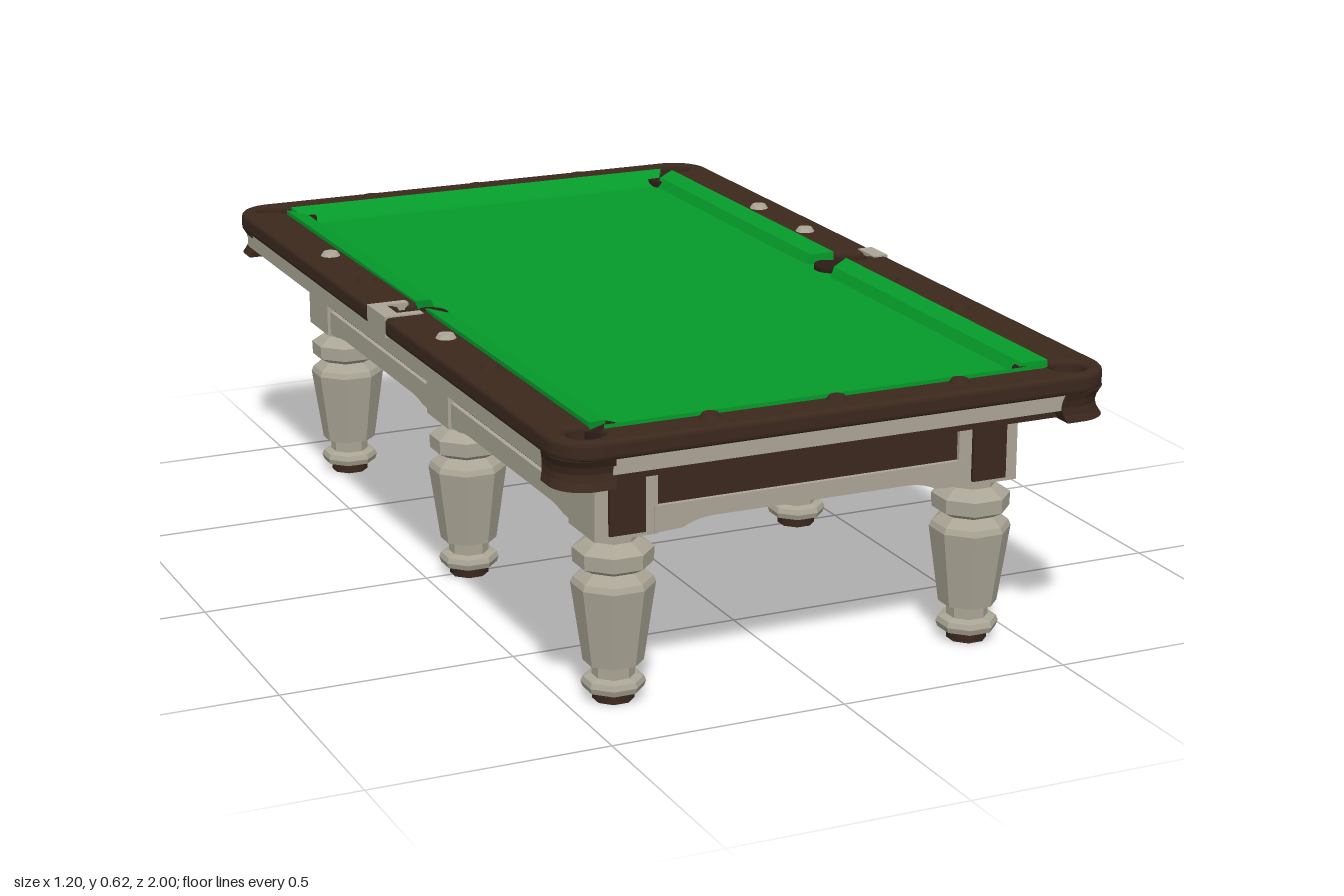
import * as THREE from 'three';

const mat = (name, color, extra = {}) => Object.assign(new THREE.MeshStandardMaterial({ color, ...extra }), { name });

export function createModel() {
  const wood = mat('dark wood', 0x3b281d);
  const pale = mat('pale wood', 0xaaa595, { flatShading: true });
  const cloth = mat('green cloth', 0x059a2a);
  const under = mat('dark green underside', 0x04301c);
  const leather = mat('pocket leather', 0x2a1d17);

  const root = new THREE.Group();
  root.name = 'billiardTable';
  const add = (name, geo, material, x = 0, y = 0, z = 0, parent = root) => {
    const m = new THREE.Mesh(geo, material);
    m.name = name;
    m.position.set(x, y, z);
    parent.add(m);
    return m;
  };
  // box given by its limits on each axis
  const box = (name, material, x0, x1, y0, y1, z0, z1) =>
    add(name, new THREE.BoxGeometry(Math.abs(x1 - x0), y1 - y0, Math.abs(z1 - z0)), material,
      (x0 + x1) / 2, (y0 + y1) / 2, (z0 + z1) / 2);
  const upright = (shape, opts) => new THREE.ExtrudeGeometry(shape, opts).rotateX(-Math.PI / 2);
  const S = [-1, 1];

  // Top rail: rounded outline, opening with bulges for the six pockets
  const outline = new THREE.Shape();
  const W = 0.6, L = 1, R = 0.085;
  outline.absarc(W - R, L - R, R, 0, Math.PI / 2);
  outline.absarc(-W + R, L - R, R, Math.PI / 2, Math.PI);
  outline.absarc(-W + R, -L + R, R, Math.PI, 1.5 * Math.PI);
  outline.absarc(W - R, -L + R, R, 1.5 * Math.PI, 2 * Math.PI);
  const quarter = [];
  const arc = (cx, cy, r, from, to, n) => {
    for (let i = 0; i <= n; i++) {
      const a = THREE.MathUtils.degToRad(from + (to - from) * i / n);
      quarter.push([cx + r * Math.cos(a), cy + r * Math.sin(a)]);
    }
  };
  arc(0.53, 0, 0.035, 10, 149, 8);
  arc(0.523, 0.932, 0.038, -127, 198, 18);
  const flip = (sx, sy) => quarter.map(([x, y]) => new THREE.Vector2(x * sx, y * sy));
  outline.holes.push(new THREE.Path([
    ...flip(1, 1), ...flip(-1, 1).reverse(), ...flip(-1, -1), ...flip(1, -1).reverse()]));
  add('topRail', upright(outline, {
    depth: 0.021, bevelEnabled: true, bevelSize: 0.01, bevelOffset: -0.01, bevelThickness: 0.01,
    bevelSegments: 3, curveSegments: 10 }), wood, 0, 0.582, 0);

  // Playing bed on its slab, and the panel below
  box('bed', cloth, -0.5, 0.5, 0.57, 0.588, -0.92, 0.92);
  box('bedSlab', wood, -0.5, 0.5, 0.516, 0.57, -0.92, 0.92);
  box('undersidePanel', under, -0.43, 0.43, 0.42, 0.515, -0.82, 0.82);

  // Cushions with mitred ends, sloping down to the bed
  const cushion = (length, noseY, x, z, turn) => {
    const profile = new THREE.Shape([[0, 0.58], [0.056, 0.58], [0.056, 0.588], [0.044, noseY], [0, 0.618]]
      .map(p => new THREE.Vector2(...p)));
    const g = new THREE.ExtrudeGeometry(profile, { depth: length, bevelEnabled: false }).translate(0, 0, -length / 2);
    const p = g.attributes.position;
    for (let i = 0; i < p.count; i++) p.setZ(i, p.getZ(i) - Math.sign(p.getZ(i)) * p.getX(i) * 0.6);
    g.computeVertexNormals();
    add('cushion', g, cloth, x, 0, z).rotation.y = turn;
  };
  for (const s of S) {
    cushion(0.865, 0.609, -0.5, s * 0.4625, 0);
    cushion(0.865, 0.609, 0.5, s * 0.4625, Math.PI);
    cushion(0.96, 0.592, 0, s * 0.92, s * Math.PI / 2);
  }

  // Pocket mouths
  const disc = (r, h) => new THREE.CylinderGeometry(r, r, h, 20);
  for (const sx of S) {
    add('sidePocket', disc(0.044, 0.07), leather, sx * 0.484, 0.563, 0);
    for (const sz of S) add('cornerPocket', disc(0.04, 0.07), leather, sx * 0.472, 0.567, sz * 0.883);
  }

  // Pale plates around the side pockets, the right one larger
  box('sidePocketPlate', pale, 0.566, 0.601, 0.57, 0.616, -0.038, 0.038);
  box('sidePocketPlate', pale, -0.601, -0.566, 0.57, 0.616, -0.055, 0.055);
  for (const t of S) box('sidePocketCheek', pale, -0.566, -0.515, 0.6, 0.616, t * 0.034, t * 0.055);

  // Rail studs, some of them pale
  const stud = (x, z, m) => add('railStud', new THREE.CylinderGeometry(0.016, 0.024, 0.012, 12), m, x, 0.616, z);
  for (const s of S) {
    for (const x of [-0.27, 0, 0.27]) stud(x, s * 0.945, wood);
    for (const z of [-0.48, -0.24, 0.24, 0.48]) stud(s * 0.535, z, z === -0.48 || s * z === -0.24 ? pale : wood);
  }

  // Wooden body under the rail with pale mouldings
  for (const s of S) {
    for (const t of S) box('sideBody', wood, s * 0.48, s * 0.558, 0.517, 0.574, t * 0.04, t * 0.895);
    box('endBody', wood, -0.49, 0.49, 0.517, 0.574, s * 0.9, s * 0.958);
    box('sideMoulding', pale, s * 0.555, s * 0.588, 0.534, 0.573, -0.925, 0.925);
    box('endMoulding', pale, -0.49, 0.49, 0.54, 0.573, s * 0.955, s * 0.988);
  }

  // Corner castings with pocket openings, waisted at mid height
  const corner = new THREE.Shape();
  corner.moveTo(0.488, 0.89);
  corner.lineTo(0.597, 0.89);
  corner.absarc(0.527, 0.927, 0.07, 0, Math.PI / 2);
  corner.lineTo(0.488, 0.997);
  corner.holes.push(new THREE.Path().absarc(0.523, 0.932, 0.032, 0, Math.PI * 2, true));
  for (const sx of S) for (const sz of S) {
    const g = upright(corner, { depth: 0.06, steps: 4, bevelEnabled: false, curveSegments: 10 });
    const p = g.attributes.position;
    for (let i = 0; i < p.count; i++) {
      const k = 1 - 0.012 * Math.sin(Math.PI * p.getY(i) / 0.06);
      p.setXYZ(i, p.getX(i) * k, p.getY(i), p.getZ(i) * k);
    }
    // centre the block, then turn it to face its own corner
    g.translate(-0.5425, 0, 0.9435);
    g.rotateY(sx > 0 ? (sz < 0 ? 0 : -Math.PI / 2) : (sz < 0 ? Math.PI / 2 : Math.PI));
    g.computeVertexNormals();
    add('cornerCasting', g, wood, sx * 0.5425, 0.515, sz * 0.9435);
  }

  // Aprons: dark board above a shaped pale bar
  const apron = (name, half, rise, x, z, turn) => {
    const group = new THREE.Group();
    group.name = name;
    add('apronBoard', new THREE.BoxGeometry(half * 2, 0.11, 0.03), wood, 0, 0.462, 0, group);
    const s = new THREE.Shape();
    s.moveTo(-half, 0.357);
    s.lineTo(-half + 0.06, 0.36);
    s.quadraticCurveTo(-half + 0.09, 0.36 + rise, -half + 0.13, 0.36 + rise);
    s.lineTo(half - 0.13, 0.36 + rise);
    s.quadraticCurveTo(half - 0.09, 0.36 + rise, half - 0.06, 0.36);
    s.lineTo(half, 0.357);
    s.lineTo(half, 0.412);
    s.lineTo(-half, 0.412);
    add('apronBar', new THREE.ExtrudeGeometry(s, { depth: 0.095, bevelEnabled: false }).translate(0, 0, -0.07),
      pale, 0, 0, 0, group);
    group.position.set(x, 0, z);
    group.rotation.y = turn;
    root.add(group);
  };
  for (const s of S) {
    apron('endApron', 0.34, 0.016, 0, s * 0.82, s > 0 ? 0 : Math.PI);
    for (const t of S) apron('sideApron', 0.34, 0.008, s * 0.435, t * 0.39, s * Math.PI / 2);
  }

  // Six turned, eight-sided legs with square heads
  const turned = [[0.04, 0.02], [0.056, 0.024], [0.06, 0.036], [0.056, 0.047], [0.04, 0.052], [0.04, 0.08],
    [0.056, 0.081], [0.078, 0.245], [0.073, 0.257], [0.052, 0.275], [0.074, 0.288], [0.075, 0.318],
    [0.056, 0.332], [0.046, 0.338], [0.046, 0.358]];
  const k = 1 / Math.cos(Math.PI / 8);
  const legGeo = new THREE.LatheGeometry(turned.map(([r, y]) => new THREE.Vector2(r * k, y)), 8, Math.PI / 8);
  const footGeo = new THREE.CylinderGeometry(0.042, 0.042, 0.022, 8, 1, false, Math.PI / 8);
  for (const x of [-0.4, 0.4]) for (const z of [-0.78, 0, 0.78]) {
    add('leg', legGeo, pale, x, 0, z);
    add('foot', footGeo, wood, x, 0.011, z);
    box('legHead', pale, x - 0.067, x + 0.067, 0.355, 0.517, z - 0.064, z + 0.064);
    if (z) {
      const f = z + Math.sign(z) * 0.064;
      box('legPanel', wood, x - 0.038, x + 0.038, 0.365, 0.517, f, f + Math.sign(z) * 0.008);
    }
  }
  return root;
}
